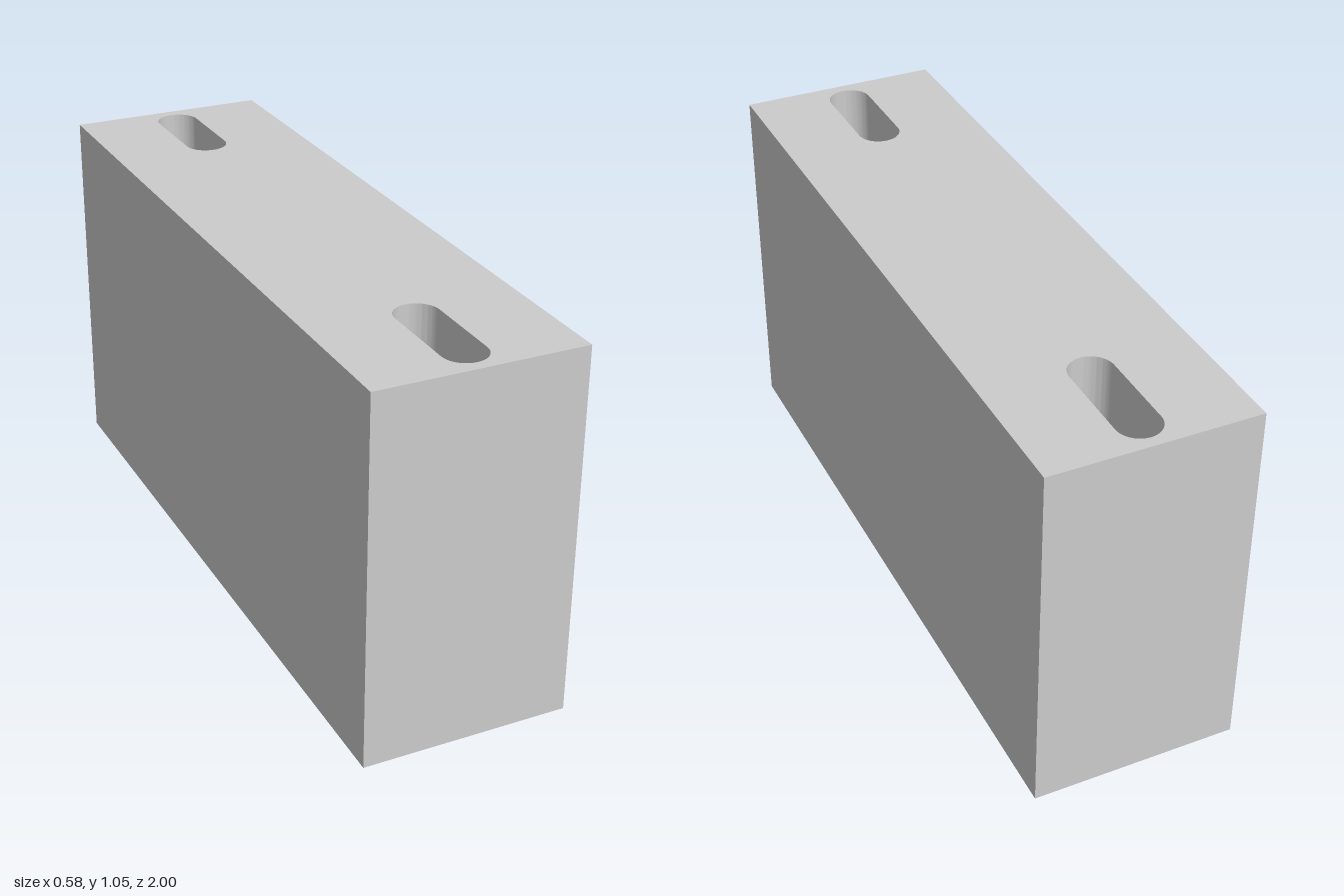
import * as THREE from 'three';
import { toCreasedNormals } from 'three/addons/utils/BufferGeometryUtils.js';

const HALF_WIDTH = 0.29, HALF_LENGTH = 1, HEIGHT = 1.047;
const SLOT_RADIUS = 0.061, SLOT_INNER = 0.615, SLOT_OUTER = 0.968;

// Rounded slot outline running along the block's length
function slotPath(start, end) {
  const path = new THREE.Path();
  path.absarc(0, end - SLOT_RADIUS, SLOT_RADIUS, 0, Math.PI, false);
  path.absarc(0, start + SLOT_RADIUS, SLOT_RADIUS, Math.PI, Math.PI * 2, false);
  path.closePath();
  return path;
}

export function createModel() {
  const model = new THREE.Group();
  model.name = 'slottedBlock';

  // Rectangular footprint with a slot through each end
  const footprint = new THREE.Shape([
    new THREE.Vector2(-HALF_WIDTH, -HALF_LENGTH),
    new THREE.Vector2(HALF_WIDTH, -HALF_LENGTH),
    new THREE.Vector2(HALF_WIDTH, HALF_LENGTH),
    new THREE.Vector2(-HALF_WIDTH, HALF_LENGTH),
  ]);
  footprint.holes.push(
    slotPath(SLOT_INNER, SLOT_OUTER),
    slotPath(-SLOT_OUTER, -SLOT_INNER),
  );

  // Stand the extrusion upright; smooth slot ends, sharp block edges
  const geometry = new THREE.ExtrudeGeometry(footprint, {
    depth: HEIGHT, bevelEnabled: false, curveSegments: 24,
  });
  geometry.rotateX(-Math.PI / 2);

  const block = new THREE.Mesh(
    toCreasedNormals(geometry, Math.PI / 6),
    new THREE.MeshStandardMaterial({ color: 0xcccccc }),
  );
  block.name = 'block';
  model.add(block);
  return model;
}
